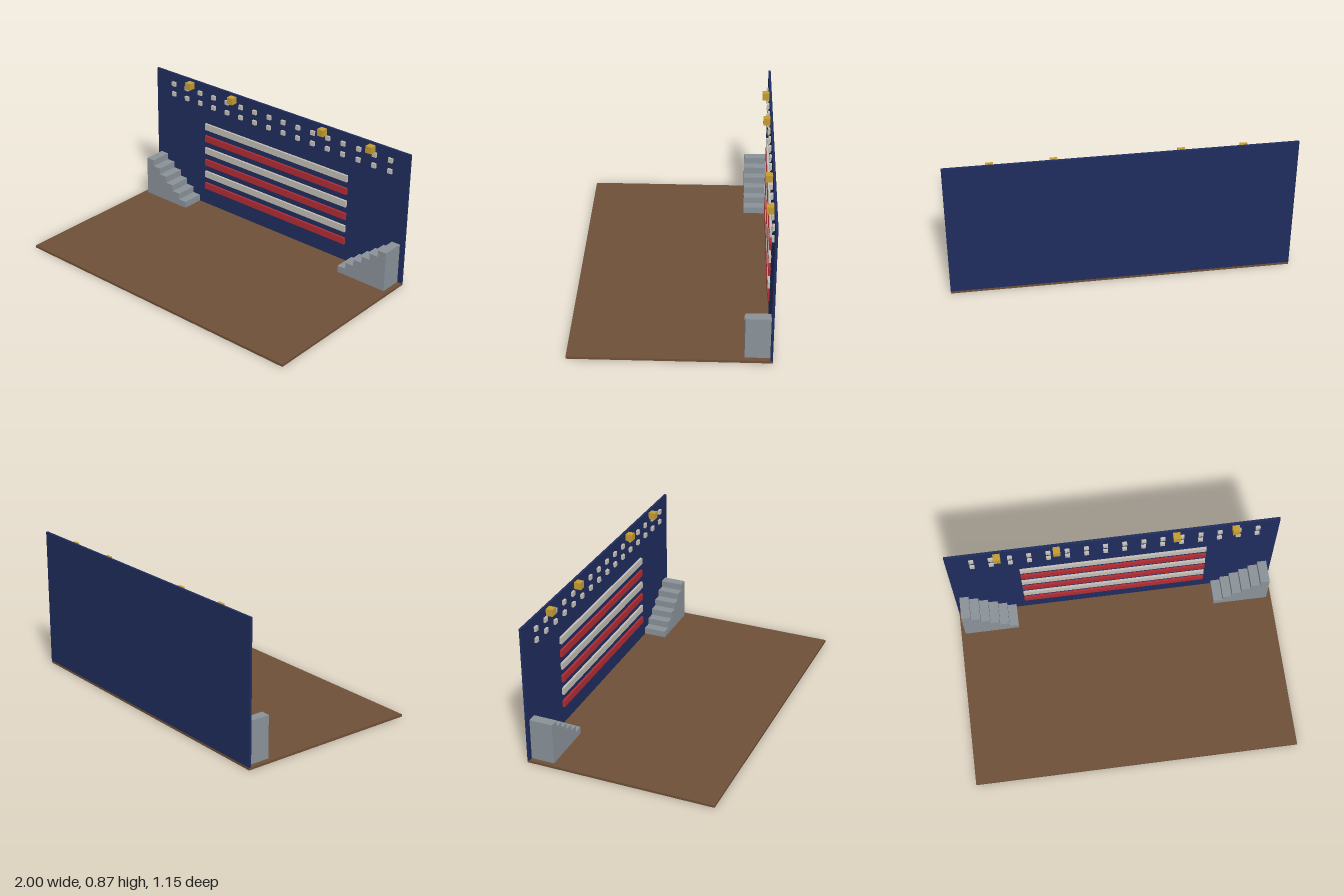
import * as THREE from 'three';

export function createModel() {
  const model = new THREE.Group();
  model.name = 'stage';

  const mat = (name, color) => {
    const m = new THREE.MeshStandardMaterial({ color });
    m.name = name;
    return m;
  };
  const brown = mat('wood brown', 0x6f5037);
  const navy = mat('navy blue', 0x202d5e);
  const grey = mat('stone grey', 0x8a9299);
  const red = mat('deep red', 0xb02c34);
  const white = mat('warm white', 0xc2beb6);
  const gold = mat('gold', 0xc49c30);

  const FLOOR = 0.015; // floor thickness
  const BACK = -0.577; // rear edge
  const WALL = -0.563; // front face of the wall

  // Box given by its x, y and z limits
  const box = (name, material, [x0, x1], [y0, y1], [z0, z1]) => {
    const mesh = new THREE.Mesh(new THREE.BoxGeometry(x1 - x0, y1 - y0, z1 - z0), material);
    mesh.position.set((x0 + x1) / 2, (y0 + y1) / 2, (z0 + z1) / 2);
    mesh.name = name;
    model.add(mesh);
    return mesh;
  };

  // Floor and back wall
  box('floor', brown, [-1, 1], [0, FLOOR], [BACK, -BACK]);
  box('backWall', navy, [-1, 1], [FLOOR, 0.872], [BACK, WALL]);

  // Six raised bars, alternating red and white from the bottom
  for (let i = 0; i < 6; i++) {
    const y = 0.13 + i * 0.0857;
    box(i % 2 ? 'whiteStripe' : 'redStripe', i % 2 ? white : red,
      [-0.571, 0.571], [y, y + 0.043], [WALL, WALL + 0.014]);
  }

  // Two rows of small studs
  for (const y of [0.731, 0.801]) {
    for (let i = 0; i < 16; i++) {
      const x = -0.845 + i * 0.1143;
      box('stud', white, [x - 0.0143, x + 0.0143], [y - 0.0143, y + 0.0143], [WALL, WALL + 0.014]);
    }
  }

  // Gold lamps along the top
  for (const x of [-0.692, -0.337, 0.379, 0.734]) {
    box('lamp', gold, [x - 0.0215, x + 0.0215], [0.815, 0.858], [WALL, WALL + 0.043]);
  }

  // Stairs rising towards both ends, extruded from a stepped profile
  const RUN = 0.0573, RISE = 0.043, STEPS = 6;
  const stairs = (name, outer, dir) => {
    const shape = new THREE.Shape();
    shape.moveTo(outer, FLOOR);
    for (let i = 0; i < STEPS; i++) {
      const y = FLOOR + RISE * (STEPS - i);
      shape.lineTo(outer + dir * RUN * i, y);
      shape.lineTo(outer + dir * RUN * (i + 1), y);
    }
    shape.lineTo(outer + dir * RUN * STEPS, FLOOR);
    shape.closePath();
    const geometry = new THREE.ExtrudeGeometry(shape, { depth: 0.143, bevelEnabled: false });
    const mesh = new THREE.Mesh(geometry, grey);
    mesh.position.z = WALL;
    mesh.name = name;
    model.add(mesh);
  };
  stairs('rightStairs', -0.973, 1);
  stairs('leftStairs', 0.97, -1);

  return model;
}
